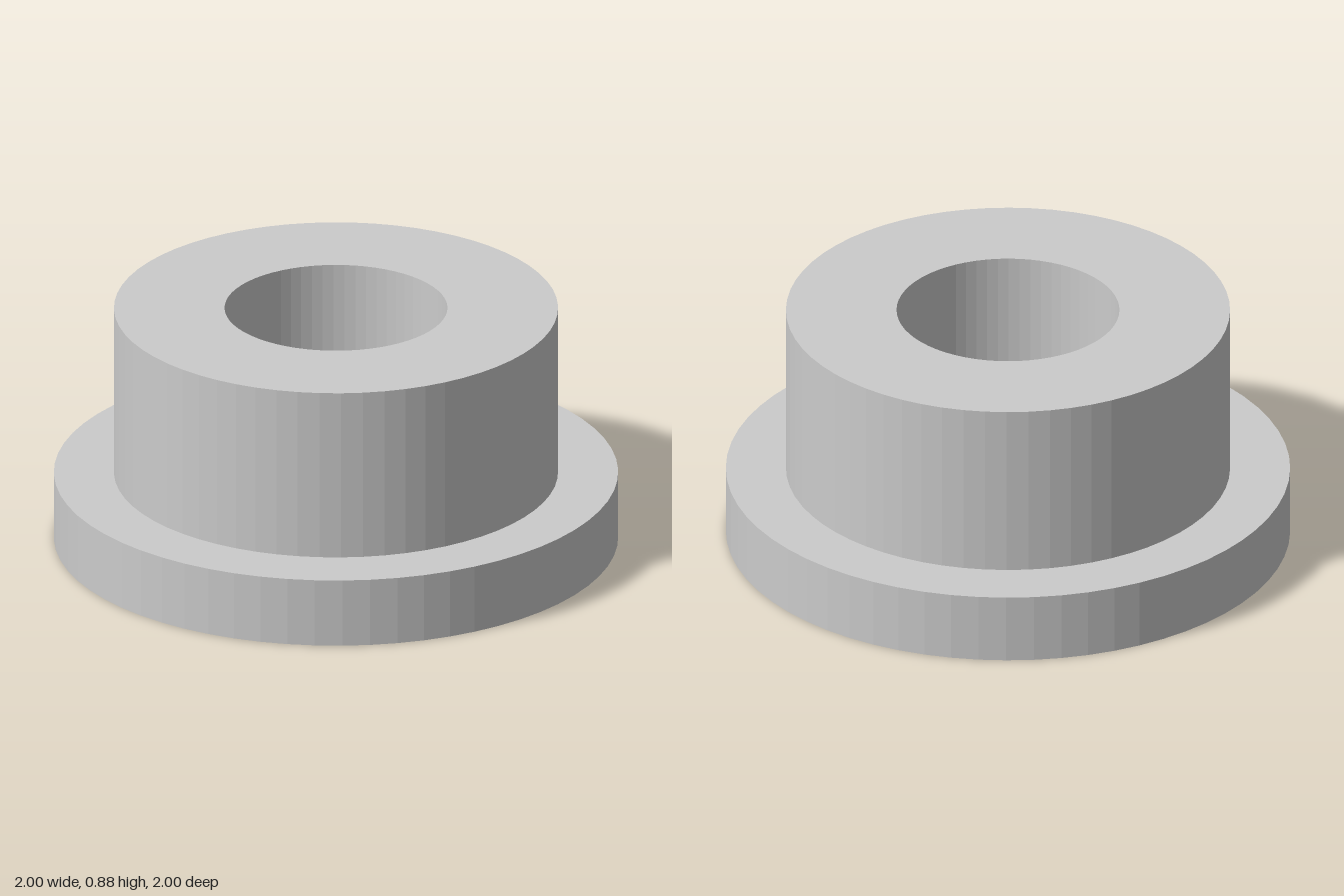
import * as THREE from 'three';

const SIDES = 64;
const BORE = 0.395, SLEEVE = 0.787, FLANGE = 1;
const FLANGE_TOP = 0.25, TOP = 0.88;

export function createModel() {
  const group = new THREE.Group();
  group.name = 'flangedBushing';

  // Closed cross-section: underside, flange rim, shoulder, sleeve, top face, bore
  const profile = [
    [BORE, 0], [FLANGE, 0], [FLANGE, FLANGE_TOP], [SLEEVE, FLANGE_TOP],
    [SLEEVE, TOP], [BORE, TOP], [BORE, 0],
  ].map(([r, y]) => new THREE.Vector2(r, y));

  const material = new THREE.MeshStandardMaterial({ color: 0xcccccc, flatShading: true });
  const bushing = new THREE.Mesh(new THREE.LatheGeometry(profile, SIDES), material);
  bushing.name = 'bushing';
  group.add(bushing);
  return group;
}
